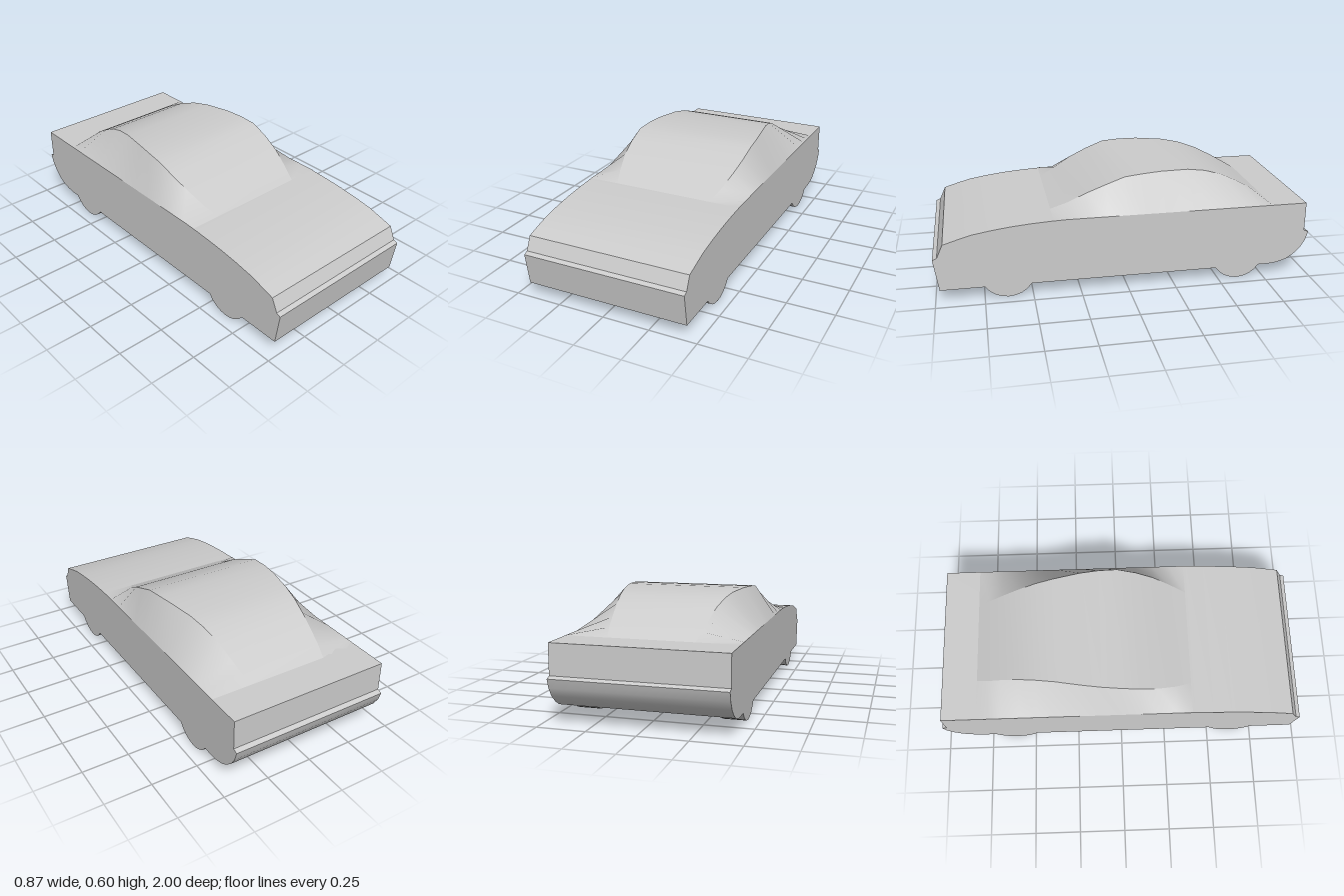
import * as THREE from 'three';
import { toCreasedNormals } from 'three/addons/utils/BufferGeometryUtils.js';

const HALF = 0.437;   // half width of the body
const BELT = 0.408;   // height where the cabin meets the body
const FLOOR = 0.067;  // underside of the body

// Extrude a side profile of [z, y] points across x, from xMin to xMax
function extrudeAcross(points, xMin, xMax) {
  const shape = new THREE.Shape(points.map(([z, y]) => new THREE.Vector2(z, y)));
  const geo = new THREE.ExtrudeGeometry(shape, { depth: xMax - xMin, bevelEnabled: false });
  geo.rotateY(-Math.PI / 2).translate(xMax, 0, 0);
  return toCreasedNormals(geo, 0.45);
}

// Smooth strip between two matching rows of [x, y, z] points
function strip(rowA, rowB) {
  const n = rowA.length;
  const index = [];
  for (let i = 0; i < n - 1; i++) {
    index.push(i, n + i, i + 1, i + 1, n + i, n + i + 1);
  }
  const geo = new THREE.BufferGeometry();
  geo.setAttribute('position', new THREE.Float32BufferAttribute([...rowA, ...rowB].flat(), 3));
  geo.setIndex(index);
  geo.computeVertexNormals();
  return geo;
}

export function createModel() {
  const car = new THREE.Group();
  car.name = 'car';
  const paint = new THREE.MeshStandardMaterial({ color: 0xcccccc });
  const panel = new THREE.MeshStandardMaterial({ color: 0xcccccc, side: THREE.DoubleSide });

  const add = (name, geometry, material = paint) => {
    const mesh = new THREE.Mesh(geometry, material);
    mesh.name = name;
    car.add(mesh);
  };

  // Body: wedge nose, flat rear deck and rounded lower tail
  add('body', extrudeAcross([
    [0.975, FLOOR], [1, 0.237], [0.977, 0.247], [0.945, 0.317],
    [0.87, 0.34], [0.8, 0.36], [0.7, 0.377], [0.6, 0.39], [0.5, 0.399], [0.4, 0.405], [0.32, BELT],
    [-0.975, BELT], [-0.975, 0.25], [-1, 0.24],
    [-0.985, 0.192], [-0.957, 0.147], [-0.92, 0.112], [-0.88, 0.087], [-0.83, 0.072], [-0.78, FLOOR],
  ], -HALF, HALF));

  // Cabin sections: z, roof height, roof half width
  const sections = [
    [0.385, BELT, 0.27], [0.3, 0.448, 0.3], [0.2, 0.503, 0.325], [0.1, 0.547, 0.338],
    [0, 0.585, 0.342], [-0.1, 0.594, 0.335], [-0.2, 0.597, 0.322], [-0.35, 0.59, 0.295],
    [-0.45, 0.572, 0.278], [-0.55, 0.538, 0.26], [-0.65, 0.487, 0.245],
    [-0.72, 0.447, 0.235], [-0.785, BELT, 0.22],
  ];
  const row = (fn) => sections.map(([z, y, w]) => fn(z, y, w));
  const roofLeft = row((z, y, w) => [w, y, z]);
  const roofRight = row((z, y, w) => [-w, y, z]);
  const sillLeft = row((z) => [HALF, BELT, z]);
  const sillRight = row((z) => [-HALF, BELT, z]);

  // Windscreen, roof and rear window in one sweep, then the sloping sides
  add('cabinRoof', strip(roofLeft, roofRight), panel);
  add('cabinSideLeft', strip(sillLeft, roofLeft), panel);
  add('cabinSideRight', strip(roofRight, sillRight), panel);

  // Wheels: the lower segments showing beneath the floor
  const radius = 0.143;
  const centerY = radius + 0.002;
  const halfAngle = Math.acos((centerY - FLOOR) / radius);
  for (const [end, z] of [['front', 0.627], ['rear', -0.605]]) {
    const arc = [];
    for (let i = 0; i <= 8; i++) {
      const a = -halfAngle + (2 * halfAngle * i) / 8;
      arc.push([z + radius * Math.sin(a), centerY - radius * Math.cos(a)]);
    }
    add(end + 'WheelLeft', extrudeAcross(arc, 0.32, HALF));
    add(end + 'WheelRight', extrudeAcross(arc, -HALF, -0.32));
  }

  return car;
}
